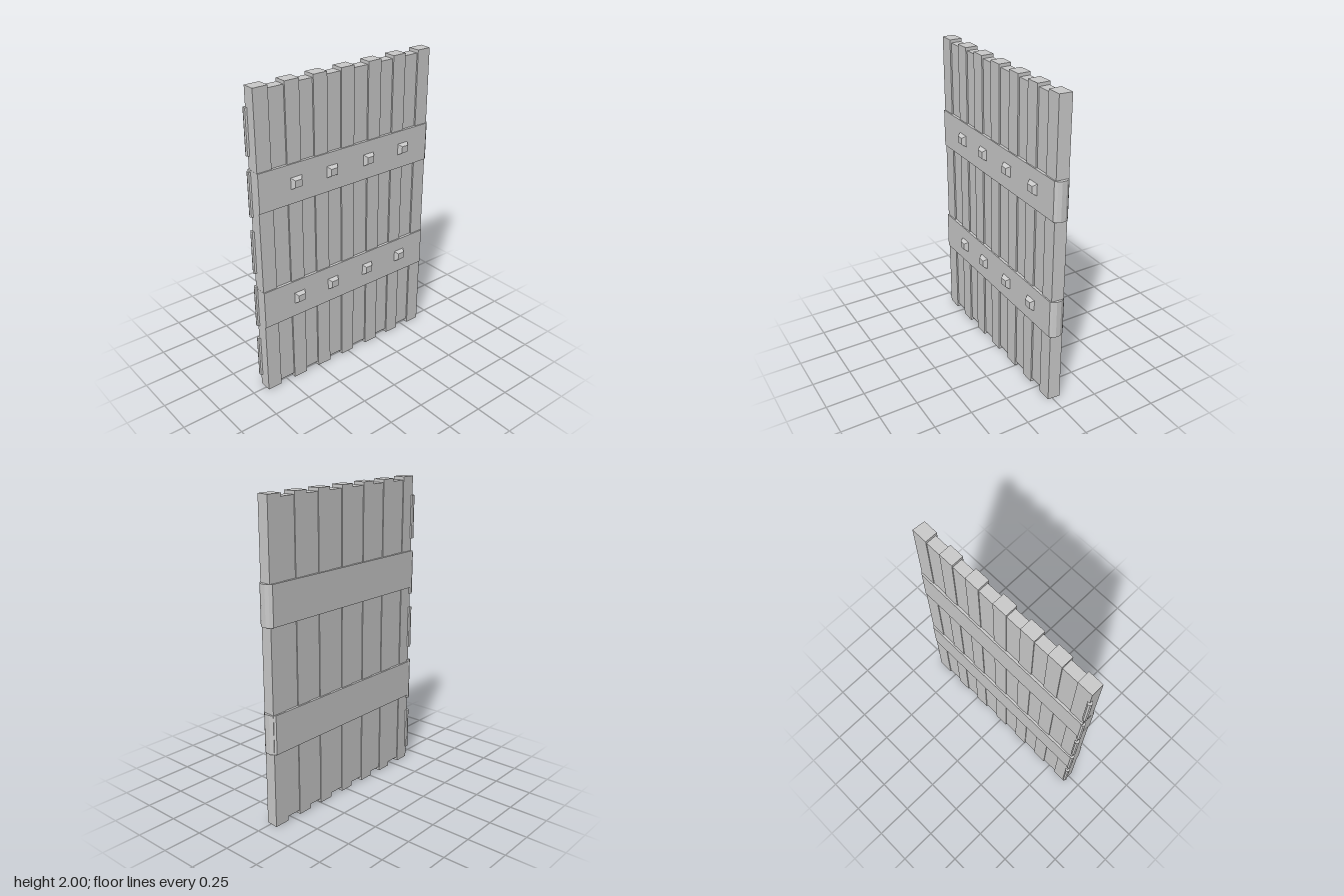
import * as THREE from 'three';

const material = new THREE.MeshStandardMaterial({ color: 0xcccccc, flatShading: true });

function add(parent, name, geometry, x = 0, y = 0, z = 0) {
  const mesh = new THREE.Mesh(geometry, material);
  mesh.name = name;
  mesh.position.set(x, y, z);
  parent.add(mesh);
  return mesh;
}

// Upright prism from a plan outline of [x, z] points, between two heights
function prism(plan, y0, y1) {
  const shape = new THREE.Shape(plan.map(([x, z]) => new THREE.Vector2(x, -z)));
  const geometry = new THREE.ExtrudeGeometry(shape, { depth: y1 - y0, bevelEnabled: false });
  return geometry.rotateX(-Math.PI / 2).translate(0, y0, 0);
}

// Square stud head tapering towards the front
function studGeometry() {
  const r = Math.SQRT2;
  return new THREE.CylinderGeometry(0.024 * r, 0.04 * r, 0.026, 4)
    .rotateY(Math.PI / 4)
    .rotateX(Math.PI / 2)
    .scale(1, 0.93, 1);
}

export function createModel() {
  const door = new THREE.Group();
  door.name = 'plankDoor';

  // Seven full planks with thinner, shorter planks between them
  const planks = new THREE.Group();
  planks.name = 'planks';
  door.add(planks);
  const starts = [-0.655, -0.45, -0.255, -0.055, 0.15, 0.345, 0.545];
  const ends = [-0.557, -0.352, -0.157, 0.042, 0.247, 0.441, 0.641];
  starts.forEach((x0, i) => {
    const x1 = ends[i];
    const last = i === starts.length - 1;
    const backX = last ? x1 + 0.007 : x1; // free edge is slightly bevelled
    add(planks, 'plank', prism([[x0, 0.03], [x1, 0.03], [backX, -0.051], [x0, -0.051]], 0, 2));
    if (!last) {
      const next = starts[i + 1];
      add(planks, 'recessedPlank', new THREE.BoxGeometry(next - x1, 1.955, 0.066),
        (x1 + next) / 2, 1.0025, -0.013);
    }
  });

  // Two straps wrapped around the free edge, each with four studs
  [[0.48, 0.73, 0.66], [1.26, 1.51, 0.665]].forEach(([y0, y1, tip]) => {
    const band = new THREE.Group();
    band.name = 'band';
    door.add(band);
    add(band, 'strap', prism([
      [-0.656, 0.038], [0.637, 0.038], [tip - 0.011, 0.024], [tip, 0.003],
      [tip, -0.027], [tip - 0.011, -0.048], [0.637, -0.062], [-0.656, -0.062],
    ], y0, y1));
    for (const x of [-0.396, -0.134, 0.15, 0.433]) {
      add(band, 'stud', studGeometry(), x, (y0 + y1) / 2 + 0.004, 0.05);
    }
  });

  // Hinge barrels along the back of the hung edge
  for (let i = 0; i < 5; i++) {
    add(door, 'hingeBarrel', new THREE.CylinderGeometry(0.0155, 0.0155, 0.283, 8), -0.655, 0.223 + i * 0.378, -0.049);
  }

  return door;
}
